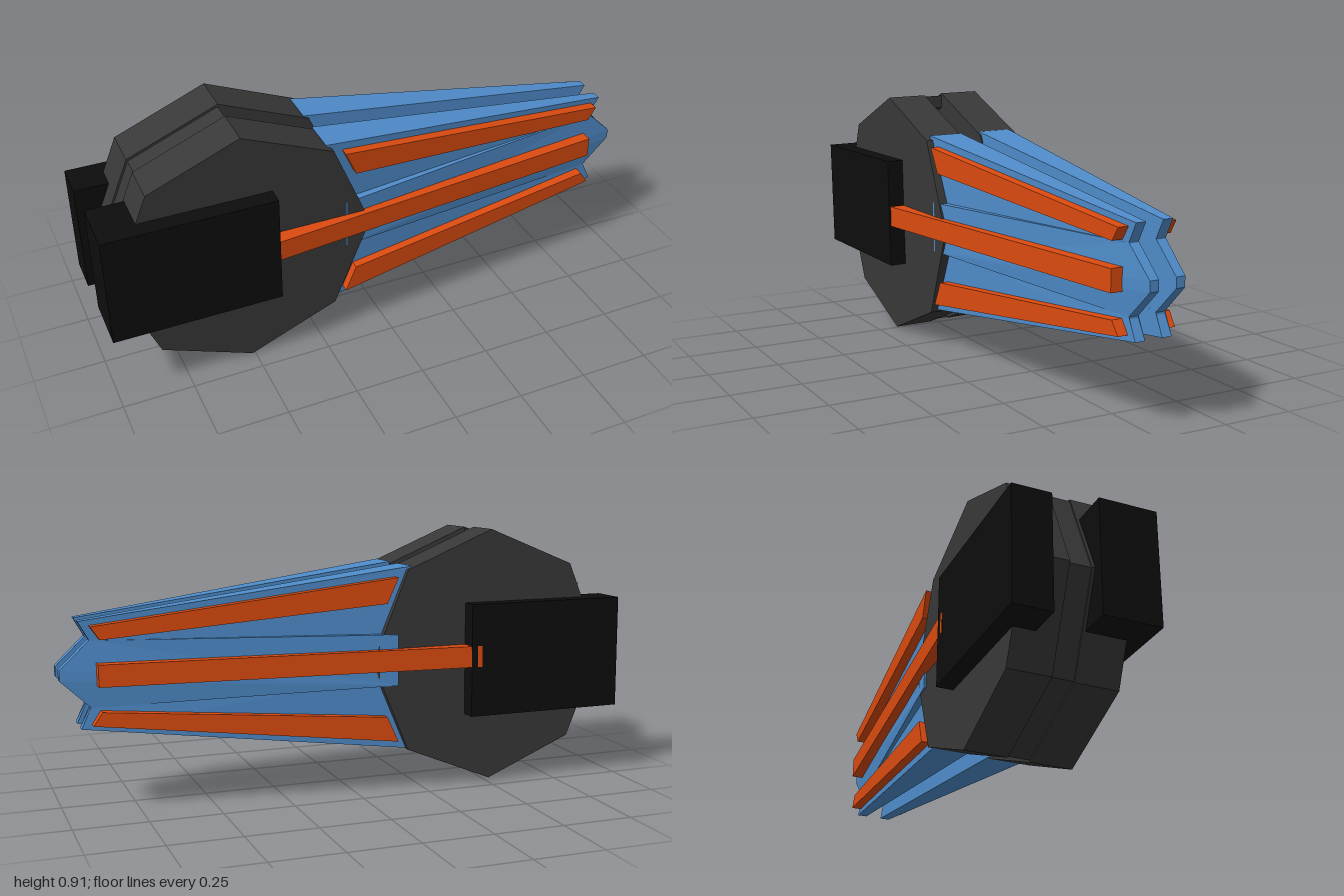
import * as THREE from 'three';

const mat = (name, color) => {
  const m = new THREE.MeshStandardMaterial({ color });
  m.name = name;
  return m;
};

// Small sideways drift of the centre plane along the length
const drift = (x) => -0.003 - 0.0087 * (x + 0.51);

// Tapered plate: points are [x, y, innerDepth, outerDepth], counter-clockwise
// seen from the front; side is +1 for the front half and -1 for the back half.
function taperedPlate(points, side) {
  const n = points.length;
  const at = (i, k) => {
    const p = points[i % n];
    return [p[0], p[1], side * p[k] + drift(p[0])];
  };
  const pos = [];
  const tri = (a, b, c) => pos.push(...a, ...(side > 0 ? b : c), ...(side > 0 ? c : b));
  for (let i = 1; i < n - 1; i++) {
    tri(at(0, 3), at(i, 3), at(i + 1, 3));
    tri(at(0, 2), at(i + 1, 2), at(i, 2));
  }
  for (let i = 0; i < n; i++) {
    tri(at(i, 2), at(i + 1, 2), at(i + 1, 3));
    tri(at(i, 2), at(i + 1, 3), at(i, 3));
  }
  const g = new THREE.BufferGeometry();
  g.setAttribute('position', new THREE.Float32BufferAttribute(pos, 3));
  g.computeVertexNormals();
  return g;
}

// Mirror an outline about the long axis, keeping its direction
const AXIS = 0.465;
const flipY = (pts) => pts.map(([x, y, a, b]) => [x, 2 * AXIS - y, a, b]).reverse();

function octagonPoints(r, from, to) {
  const pts = [];
  for (let i = from; i <= to; i++) {
    const a = (i * Math.PI) / 4;
    pts.push(new THREE.Vector2(Math.cos(a) * r, Math.sin(a) * r));
  }
  return pts;
}

const extrude = (pts, depth) =>
  new THREE.ExtrudeGeometry(new THREE.Shape(pts), { depth, bevelEnabled: false });

export function createModel() {
  const grey = mat('dark grey', 0x383838);
  const black = mat('black', 0x0d0d0d);
  const blue = mat('steel blue', 0x4f8cca);
  const orange = mat('burnt orange', 0xdc4b10);

  const model = new THREE.Group();
  const body = new THREE.Group();
  body.name = 'body';
  body.position.y = 0.455;
  body.rotation.x = 0.0175; // slight lean
  model.add(body);
  const parts = new THREE.Group();
  parts.name = 'bodyParts';
  parts.position.y = -0.455;
  body.add(parts);

  const add = (name, geometry, material, x = 0, y = 0, z = 0) => {
    const m = new THREE.Mesh(geometry, material);
    m.name = name;
    m.position.set(x, y, z);
    parts.add(m);
  };

  // Outlines of the prongs and ridge bars
  const upperProng = [
    [-0.21, 0.79, 0.038, 0.163], [-0.13, 0.53, 0.038, 0.158],
    [0.9, 0.57, 0.031, 0.066], [0.9, 0.582, 0.031, 0.066], [0.935, 0.645, 0.031, 0.066],
  ];
  const middleProng = [
    [-0.15, 0.375, 0.038, 0.187], [0.9, 0.355, 0.031, 0.066], [1, 0.45, 0.031, 0.063],
    [1, 0.485, 0.031, 0.063], [0.9, 0.58, 0.031, 0.066], [-0.15, 0.555, 0.038, 0.187],
  ];
  const upperBar = [
    [-0.15, 0.755, 0.15, 0.19], [-0.11, 0.665, 0.15, 0.186],
    [0.87, 0.585, 0.064, 0.106], [0.9, 0.63, 0.064, 0.104],
  ];
  const middleBar = [
    [-0.45, 0.43, 0.17, 0.242], [0.88, 0.43, 0.064, 0.116],
    [0.88, 0.505, 0.064, 0.116], [-0.45, 0.505, 0.17, 0.242],
  ];

  for (const side of [1, -1]) {
    const half = side > 0 ? 'front' : 'back';
    // Octagonal hub plate
    add(half + 'HubPlate', extrude(octagonPoints(0.452, 0, 7), 0.147), grey,
      -0.51, side > 0 ? 0.455 : 0.459, side > 0 ? 0.033 : -0.186);

    // Rear block, reaching further inward on the front half
    const near = side > 0 ? 0.045 : 0.11;
    add(half + 'RearBlock', new THREE.BoxGeometry(0.59, 0.401, 0.242 - near), black,
      -0.705, side > 0 ? 0.478 : 0.453, side * (0.242 + near) / 2 - 0.002);

    // Three tapering prongs
    add(half + 'UpperProng', taperedPlate(upperProng, side), blue);
    add(half + 'MiddleProng', taperedPlate(middleProng, side), blue);
    add(half + 'LowerProng', taperedPlate(flipY(upperProng), side), blue);

    // Raised bars along the prongs
    add(half + 'UpperBar', taperedPlate(upperBar, side), orange);
    add(half + 'MiddleBar', taperedPlate(middleBar, side), orange);
    add(half + 'LowerBar', taperedPlate(flipY(upperBar), side), orange);
  }

  // Half-ring spine joining the two hub plates
  const ring = [...octagonPoints(0.446, 2, 6), ...octagonPoints(0.4, 2, 6).reverse()];
  add('hubSpine', extrude(ring, 0.078), grey, -0.51, 0.456, -0.042);

  return model;
}
